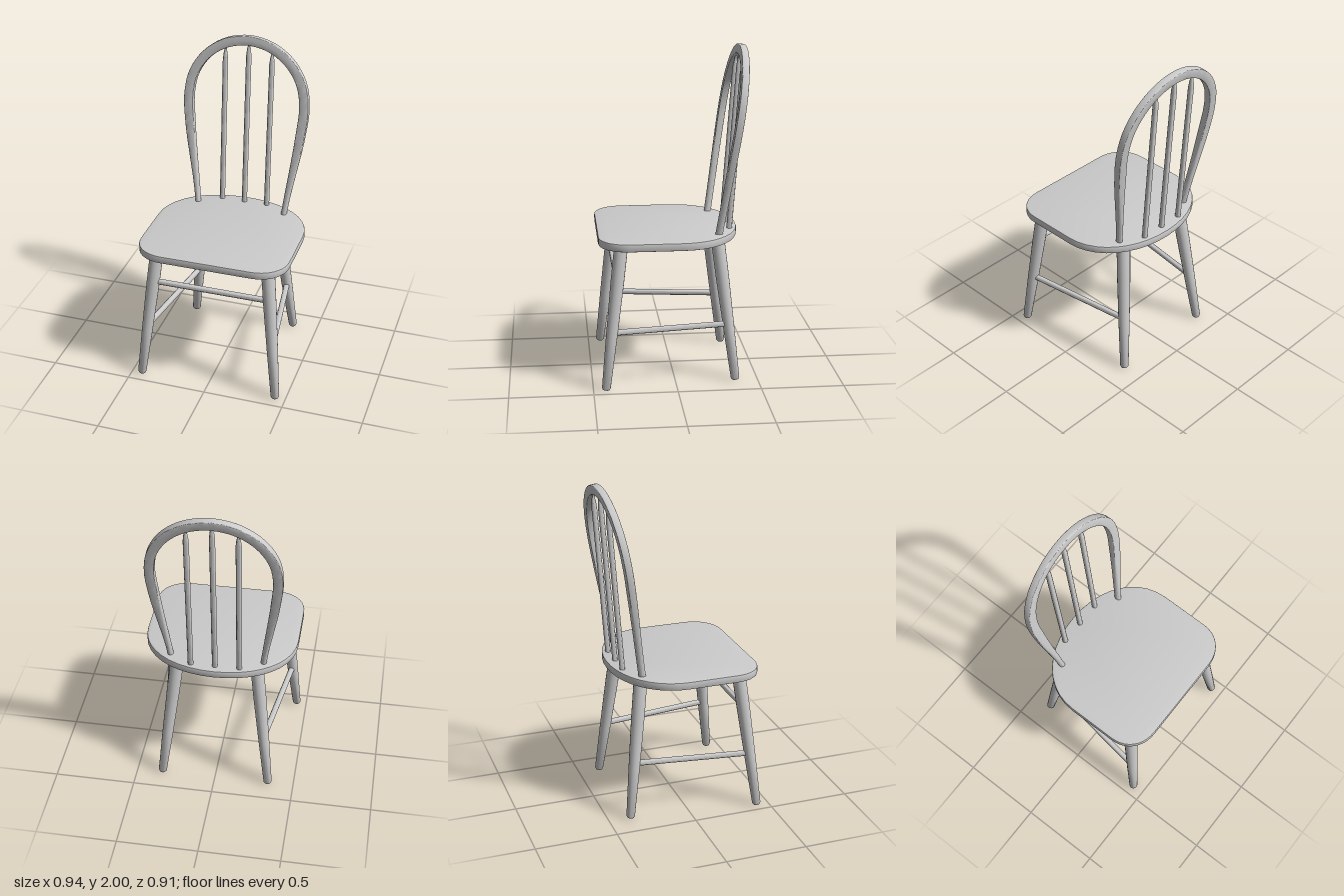
import * as THREE from 'three';
import { toCreasedNormals } from 'three/addons/utils/BufferGeometryUtils.js';

const V = (x, y, z) => new THREE.Vector3(x, y, z);
const UP = V(0, 1, 0);
const material = new THREE.MeshStandardMaterial({ color: 0xcccccc });

function part(name, geometry) {
  const mesh = new THREE.Mesh(geometry, material);
  mesh.name = name;
  return mesh;
}

// Turned rod from a to b; profile is [radius, fraction of length] pairs
function rod(name, a, b, profile, sides = 16) {
  const dir = b.clone().sub(a);
  const len = dir.length();
  const points = profile.map(([r, t]) => new THREE.Vector2(r, t * len));
  const geo = toCreasedNormals(new THREE.LatheGeometry(points, sides), 0.7);
  geo.applyQuaternion(new THREE.Quaternion().setFromUnitVectors(UP, dir.normalize()));
  geo.translate(a.x, a.y, a.z);
  return part(name, geo);
}

// Seat board: rounded front corners, broad curved back, softened rim
function makeSeat() {
  const s = new THREE.Shape();
  s.moveTo(0, 0.455);
  s.lineTo(0.28, 0.455);
  s.bezierCurveTo(0.39, 0.453, 0.468, 0.38, 0.468, 0.27);
  s.lineTo(0.468, -0.03);
  s.bezierCurveTo(0.468, -0.25, 0.27, -0.4, 0, -0.4);
  s.bezierCurveTo(-0.27, -0.4, -0.468, -0.25, -0.468, -0.03);
  s.lineTo(-0.468, 0.27);
  s.bezierCurveTo(-0.468, 0.38, -0.39, 0.453, -0.28, 0.455);
  s.closePath();
  const bevel = 0.006;
  const geo = new THREE.ExtrudeGeometry(s, {
    depth: 0.047 - 2 * bevel, curveSegments: 10, bevelEnabled: true,
    bevelThickness: bevel, bevelSize: bevel, bevelOffset: -bevel, bevelSegments: 2,
  });
  geo.rotateX(Math.PI / 2);
  geo.translate(0, 0.905 - bevel, 0);
  return part('seat', toCreasedNormals(geo, 0.6));
}

// Bent back hoop: round where it enters the seat, squared off above
function makeHoop() {
  const lean = (y) => -0.265 - 0.153 * (y - 0.905);
  const at = (x, y) => V(x, y, lean(y));
  const side = [[0.279, 0.875], [0.299, 1.03], [0.325, 1.2], [0.353, 1.4]];
  const path = side.map(([x, y]) => at(x, y));
  for (let i = 0; i <= 8; i++) {
    const a = (i / 8) * Math.PI;
    path.push(at(0.367 * Math.cos(a), 1.6 + 0.368 * Math.sin(a)));
  }
  path.push(...side.reverse().map(([x, y]) => at(-x, y)));
  const curve = new THREE.CatmullRomCurve3(path);

  const n = V(0, 0.153, 1).normalize();
  const rings = 80, sides = 24, pos = [], index = [];
  const power = (v, e) => Math.sign(v) * Math.pow(Math.abs(v), e);
  for (let i = 0; i <= rings; i++) {
    const p = curve.getPointAt(i / rings);
    const across = curve.getTangentAt(i / rings).cross(n).normalize();
    const k = THREE.MathUtils.smoothstep(p.y, 0.9, 1.5);
    const w = 0.018 + 0.011 * k, d = 0.022, e = 1 - 0.82 * k;
    for (let j = 0; j < sides; j++) {
      const a = (j / sides) * Math.PI * 2;
      const q = p.clone()
        .addScaledVector(across, w * power(Math.cos(a), e))
        .addScaledVector(n, d * power(Math.sin(a), e));
      pos.push(q.x, q.y, q.z);
      if (i < rings) {
        const a0 = i * sides + j, a1 = i * sides + (j + 1) % sides;
        index.push(a0, a0 + sides, a1, a1, a0 + sides, a1 + sides);
      }
    }
  }
  const geo = new THREE.BufferGeometry();
  geo.setAttribute('position', new THREE.Float32BufferAttribute(pos, 3));
  geo.setIndex(index);
  return part('backHoop', toCreasedNormals(geo, 0.6));
}

export function createModel() {
  const chair = new THREE.Group();
  chair.name = 'chair';
  chair.add(makeSeat(), makeHoop());

  // Spindles, tapering to a point under the hoop
  for (const x of [-0.147, 0, 0.147]) {
    const tip = x === 0 ? 1.955 : 1.915;
    chair.add(rod('spindle', V(x, 0.885, -0.343), V(x, tip, -0.342 - 0.075 * (tip - 0.9)),
      [[0, 0], [0.017, 0], [0.017, 0.92], [0.013, 0.955], [0.004, 1], [0, 1]], 12));
  }

  // Splayed legs and the stretchers joining them
  const legProfile = [[0, 0], [0.02, 0], [0.026, 0.012], [0.034, 0.36], [0.04, 0.72], [0.041, 1], [0, 1]];
  const rail = [[0, 0], [0.018, 0], [0.018, 1], [0, 1]];
  const along = (leg, y) => leg[0].clone().lerp(leg[1], y / 0.88);
  for (const [label, s] of [['left', 1], ['right', -1]]) {
    const front = [V(s * 0.436, 0.003, 0.425), V(s * 0.346, 0.88, 0.321)];
    const back = [V(s * 0.339, 0.003, -0.365), V(s * 0.241, 0.88, -0.26)];
    chair.add(rod(label + 'FrontLeg', ...front, legProfile));
    chair.add(rod(label + 'BackLeg', ...back, legProfile));
    chair.add(rod(label + 'Stretcher', along(front, 0.345), along(back, 0.345), rail, 12));
  }
  chair.add(rod('frontStretcher', V(-0.355, 0.655, 0.348), V(0.355, 0.655, 0.348), rail, 12));
  return chair;
}
